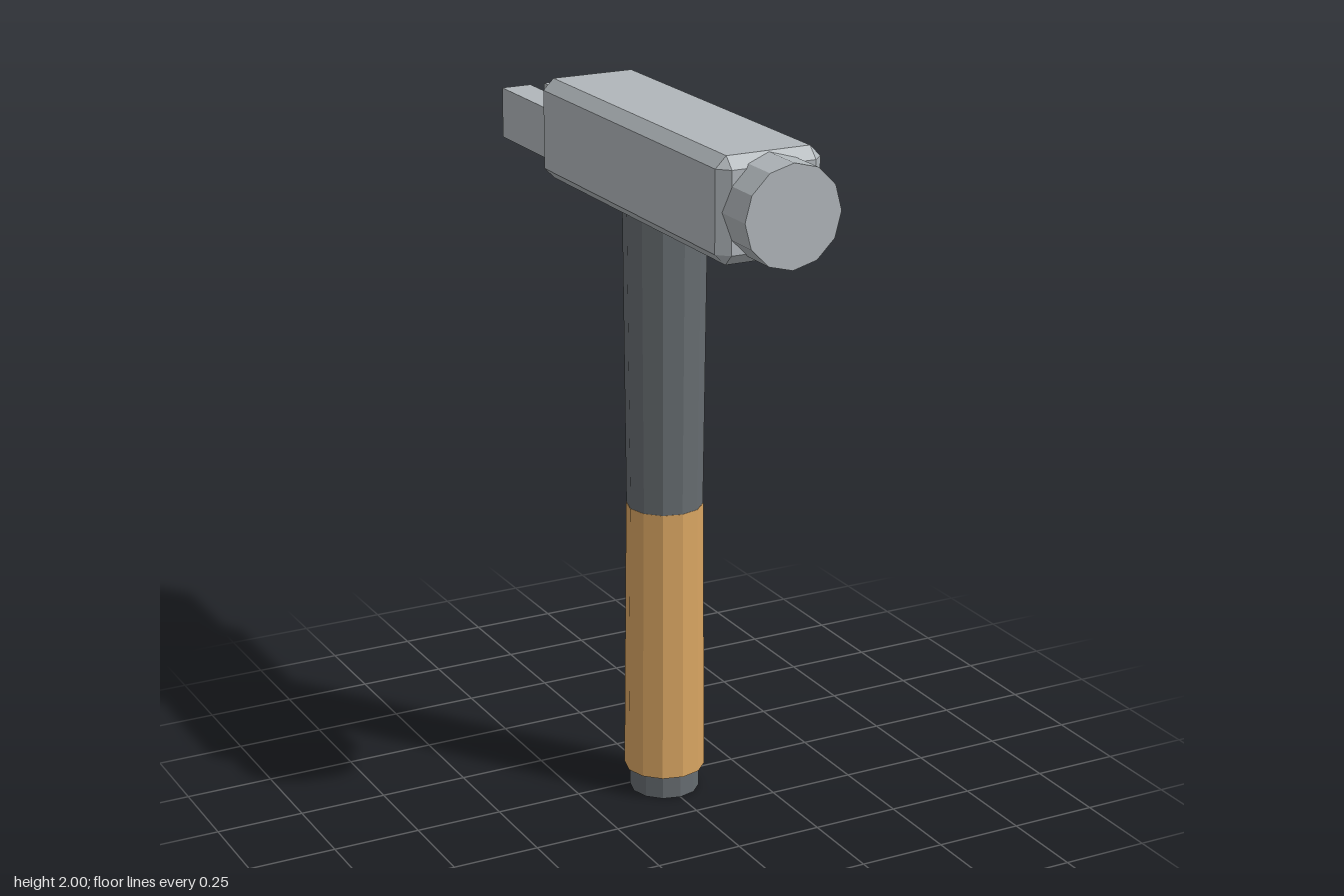
import * as THREE from 'three';
import { ConvexGeometry } from 'three/addons/geometries/ConvexGeometry.js';

const material = (name, color) => {
  const m = new THREE.MeshStandardMaterial({ color, flatShading: true });
  m.name = name;
  return m;
};

// Box with every edge cut by a flat chamfer
function chamferedBox(w, h, d, c) {
  const half = [w / 2, h / 2, d / 2];
  const points = [];
  for (const sx of [-1, 1]) for (const sy of [-1, 1]) for (const sz of [-1, 1]) {
    for (let axis = 0; axis < 3; axis++) {
      const p = half.map((v, i) => (i === axis ? v : v - c));
      points.push(new THREE.Vector3(p[0] * sx, p[1] * sy, p[2] * sz));
    }
  }
  return new ConvexGeometry(points);
}

export function createModel() {
  const steel = material('steel', 0xb0b6ba);
  const darkSteel = material('darkSteel', 0x666c70);
  const tan = material('tanGrip', 0xd9a562);

  const group = new THREE.Group();
  group.name = 'hammer';
  const add = (name, geometry, mat, x, y, z) => {
    const mesh = new THREE.Mesh(geometry, mat);
    mesh.name = name;
    mesh.position.set(x, y, z);
    group.add(mesh);
    return mesh;
  };

  // Handle sections, stacked from the ground up
  const axisZ = 0.053;
  const section = (name, mat, y0, y1, r0, r1) =>
    add(name, new THREE.CylinderGeometry(r1, r0, y1 - y0, 12), mat, 0, (y0 + y1) / 2, axisZ);
  section('handleButt', darkSteel, 0, 0.07, 0.099, 0.099);
  section('grip', tan, 0.07, 0.868, 0.115, 0.108);
  section('shaft', darkSteel, 0.868, 1.73, 0.107, 0.116);

  // Head block
  const headY = 1.858;
  add('head', chamferedBox(0.304, 0.284, 1.058, 0.031), steel, 0, headY, 0.115);

  // Round striking face
  const face = add('strikingFace', new THREE.CylinderGeometry(0.139, 0.139, 0.135, 12), steel, 0, headY, 0.6775);
  face.rotation.x = Math.PI / 2;

  // Split claw
  for (const [name, side] of [['leftClaw', 1], ['rightClaw', -1]]) {
    add(name, new THREE.BoxGeometry(0.09, 0.145, 0.345), steel, side * 0.067, 1.827, -0.5725);
  }

  return group;
}
